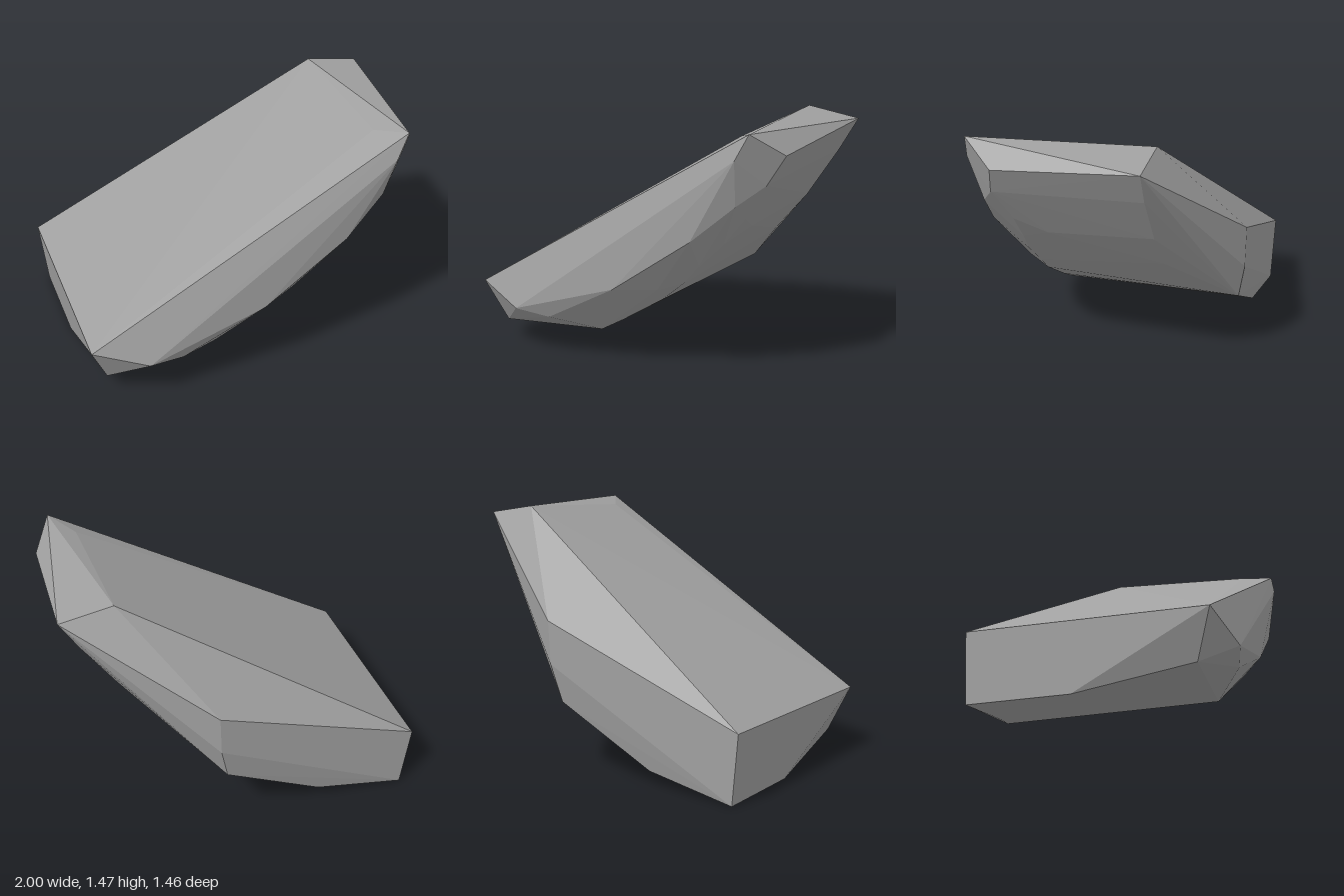
import * as THREE from 'three';
import { ConvexGeometry } from 'three/addons/geometries/ConvexGeometry.js';

// Corner groups of the rock chip, each corner as [x, y, z]
const slopedTop = [
  [-1, 0.39, 0.63], [-1, 0.4, -0.69], [0.69, 1.47, -0.33],
  [0.83, 1.47, 0.7], [0.7, 1.425, 0.53],
];
const upperEnd = [
  [1, 1.42, -0.33], [0.95, 1.34, 0.51], [0.89, 1.23, -0.32], [0.86, 1.18, 0.55],
];
const frontFace = [
  [-0.9, 0.13, 0.54], [-0.69, 0.29, 0.725], [-0.48, 0.26, 0.68], [0, 0.52, 0.725],
  [0.49, 0.86, 0.71], [0.73, 1.07, 0.65], [0.76, 1.33, 0.725],
];
const backFace = [
  [0.23, 0.87, -0.73], [0.22, 0.62, -0.725], [0.17, 0.4, -0.685],
  [-0.42, 0.09, -0.66], [-0.59, 0.05, -0.63], [-0.96, 0, -0.68],
];
const curvedUnderside = [
  [-0.96, 0, -0.11], [-0.22, 0.18, 0.51], [-0.08, 0.26, 0.5], [0.19, 0.43, 0.5],
  [0.22, 0.52, 0.6], [0.33, 0.55, 0.49], [0.44, 0.67, 0.52], [0.58, 0.81, 0.49],
  [0.655, 0.885, 0.31], [0.71, 0.97, 0.49], [0.5, 0.71, -0.32], [0.7, 0.945, -0.32],
];

export function createModel() {
  const stone = new THREE.MeshStandardMaterial({ color: 0xa0a0a0 });
  stone.name = 'stone grey';
  stone.flatShading = true;

  // The chip is the faceted hull around all its corners
  const corners = [slopedTop, upperEnd, frontFace, backFace, curvedUnderside]
    .flat().map((p) => new THREE.Vector3(...p));
  const rock = new THREE.Mesh(new ConvexGeometry(corners), stone);
  rock.name = 'rockChip';

  const group = new THREE.Group();
  group.name = 'rock';
  group.add(rock);
  return group;
}
